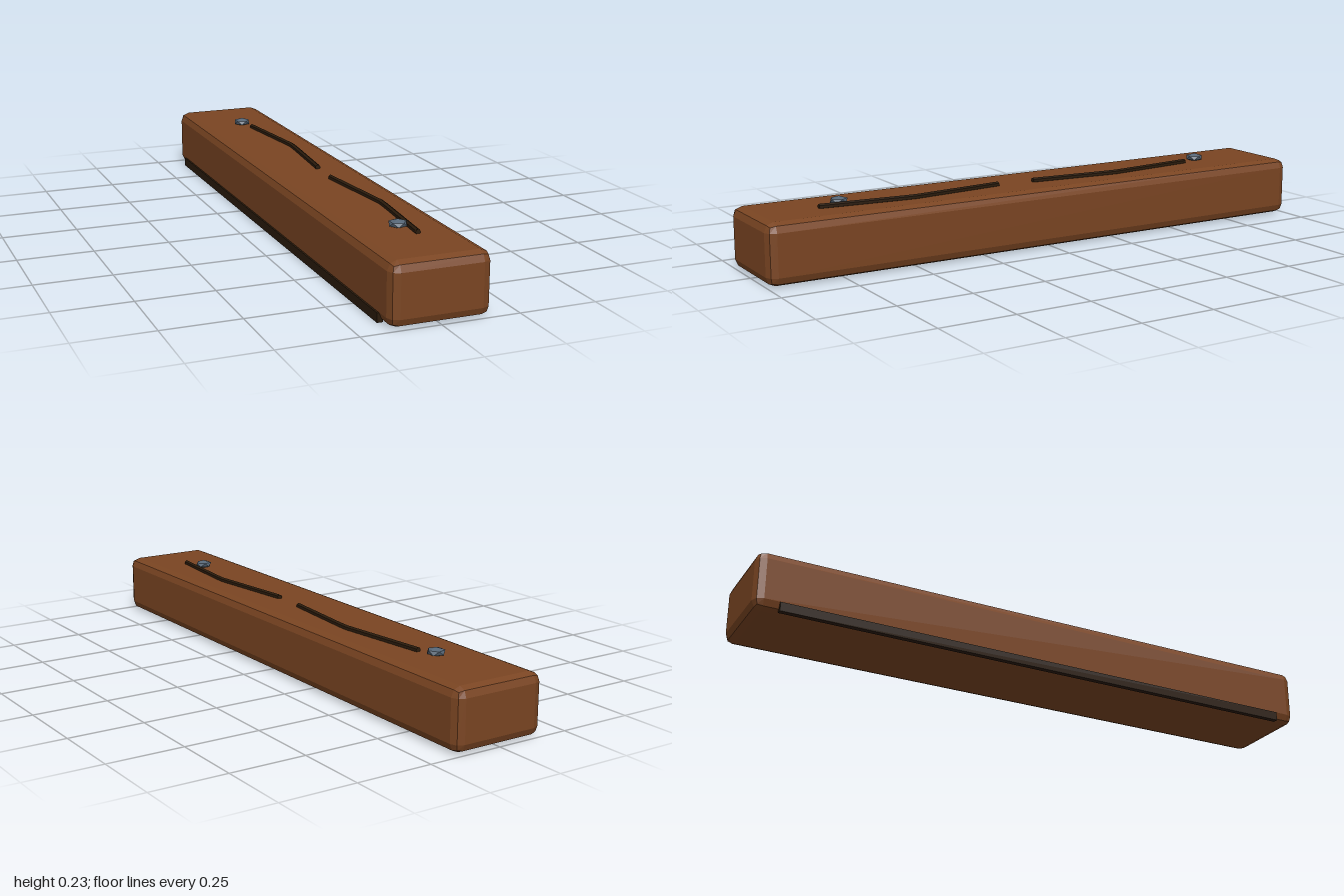
import * as THREE from 'three';

const wood = new THREE.MeshStandardMaterial({ color: 0x7a4522, flatShading: true });
wood.name = 'brown wood';
const dark = new THREE.MeshStandardMaterial({ color: 0x2a1b0c, flatShading: true });
dark.name = 'dark crack';
const steel = new THREE.MeshStandardMaterial({ color: 0x566676, flatShading: true });
steel.name = 'blue steel';

// Box whose edges are bevelled in two steps
function bevelledBox(w, h, d, r) {
  const half = new THREE.Vector3(w, h, d).multiplyScalar(0.5);
  const geometry = new THREE.BoxGeometry(2, 2, 2, 3, 3, 3);
  const pos = geometry.attributes.position;
  const p = new THREE.Vector3(), n = new THREE.Vector3();
  for (let i = 0; i < pos.count; i++) {
    p.fromBufferAttribute(pos, i);
    for (const a of ['x', 'y', 'z']) n[a] = Math.abs(p[a]) > 0.9 ? Math.sign(p[a]) : 0;
    n.normalize();
    for (const a of ['x', 'y', 'z']) p[a] = Math.sign(p[a]) * (half[a] - r) + n[a] * r;
    pos.setXYZ(i, p.x, p.y, p.z);
  }
  geometry.computeVertexNormals();
  return geometry;
}

// Thin six-sided strip bent once in the middle
function crackGeometry() {
  const points = [[0.02, -0.64], [0.056, -0.31], [0.028, 0.005]]
    .map(([x, z]) => new THREE.Vector3(x, 0, z));
  const path = new THREE.CurvePath();
  path.add(new THREE.LineCurve3(points[0], points[1]));
  path.add(new THREE.LineCurve3(points[1], points[2]));
  return new THREE.TubeGeometry(path, 16, 0.009, 6);
}

export function createModel() {
  const model = new THREE.Group();
  model.name = 'plank';
  const add = (name, geometry, material, x, y, z) => {
    const mesh = new THREE.Mesh(geometry, material);
    mesh.name = name;
    mesh.position.set(x, y, z);
    model.add(mesh);
    return mesh;
  };

  add('board', bevelledBox(0.318, 0.197, 2, 0.03), wood, 0.001, 0.1015, 0);

  // Dark strip along the lower edge
  add('edgeStrip', new THREE.BoxGeometry(0.018, 0.03, 1.84), dark, -0.154, 0.016, 0);

  // Two cracks in the top, with closed ends
  const crack = crackGeometry();
  const cap = new THREE.CircleGeometry(0.009, 6);
  [0, 0.775].forEach((z, i) => {
    add('crack' + (i + 1), crack, dark, 0, 0.205, z);
    add('crackEnd' + (i + 1), cap, dark, 0.028, 0.205, z + 0.005);
    add('crackStart' + (i + 1), cap, dark, 0.02, 0.205, z - 0.64).rotation.y = Math.PI;
  });

  // Faceted nail heads, point upward
  const head = new THREE.IcosahedronGeometry(0.031, 0);
  head.rotateZ(-Math.atan(2 / (1 + Math.sqrt(5))));
  head.scale(1, 0.47, 1);
  head.computeVertexNormals();
  for (const z of [-0.7, 0.7]) add(z > 0 ? 'frontNail' : 'backNail', head, steel, 0, 0.2115, z);

  return model;
}
